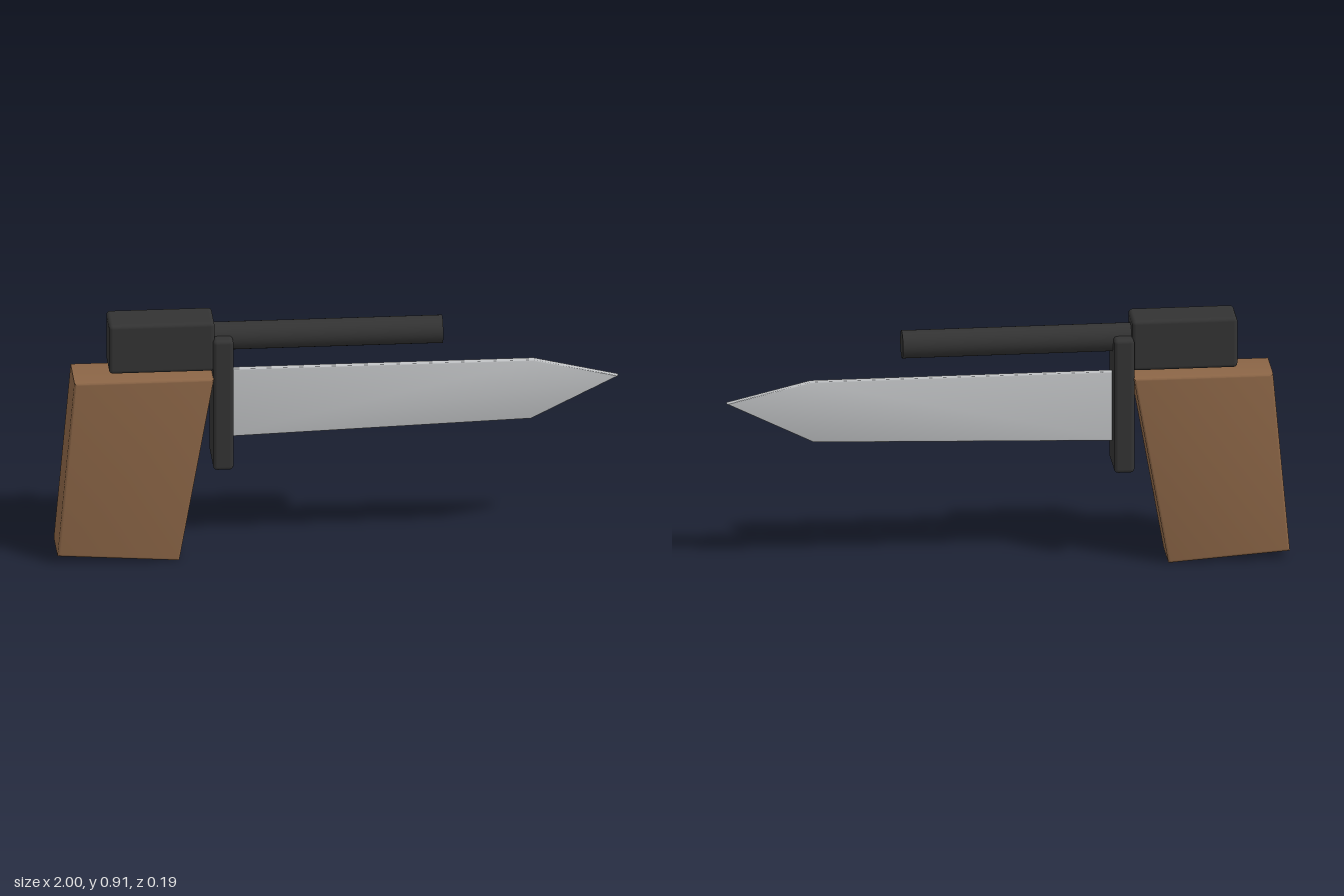
import * as THREE from 'three';
import { toCreasedNormals } from 'three/addons/utils/BufferGeometryUtils.js';
import { RoundedBoxGeometry } from 'three/addons/geometries/RoundedBoxGeometry.js';

const material = (name, color) => {
  const m = new THREE.MeshStandardMaterial({ color });
  m.name = name;
  return m;
};

// Side outline extruded across z, with softly rounded edges inside the outline
function slab(outline, thickness, bevel) {
  const shape = new THREE.Shape(outline.map(([x, y]) => new THREE.Vector2(x, y)));
  const depth = thickness - 2 * bevel;
  const geometry = new THREE.ExtrudeGeometry(shape, {
    depth, bevelEnabled: true, bevelThickness: bevel, bevelSize: bevel,
    bevelOffset: -bevel, bevelSegments: 4,
  });
  geometry.translate(0, 0, -depth / 2);
  return toCreasedNormals(geometry, 0.5);
}

// Rounded block given by its x and y limits and its width
function block(x0, x1, y0, y1, width, radius) {
  return new RoundedBoxGeometry(x1 - x0, y1 - y0, width, 3, radius)
    .translate((x0 + x1) / 2, (y0 + y1) / 2, 0);
}

export function createModel() {
  const model = new THREE.Group();
  model.name = 'bladedPistol';
  const wood = material('brown wood', 0x8b6546);
  const iron = material('dark iron', 0x333333);
  const steel = material('pale steel', 0xc0c2c4);

  const add = (name, geometry, mat) => {
    const mesh = new THREE.Mesh(geometry, mat);
    mesh.name = name;
    model.add(mesh);
  };

  // Raked wooden handle
  add('grip', slab([[-1, 0.033], [-0.567, 0.003], [-0.443, 0.7], [-0.94, 0.7]], 0.186, 0.01), wood);

  // Firing block, hand guard and barrel
  add('receiver', block(-0.815, -0.44, 0.722, 0.909, 0.15, 0.014), iron);
  add('guard', block(-0.446, -0.374, 0.346, 0.846, 0.187, 0.014), iron);
  const barrel = new THREE.CylinderGeometry(0.05, 0.05, 0.835, 32);
  barrel.rotateZ(-Math.PI / 2).translate(-0.0425, 0.828, 0);
  add('barrel', barrel, iron);

  // Pointed blade, rooted inside the guard
  add('blade', slab(
    [[-0.42, 0.441], [0.69, 0.475], [1, 0.63], [0.7, 0.702], [-0.42, 0.702]], 0.024, 0.005), steel);

  return model;
}
